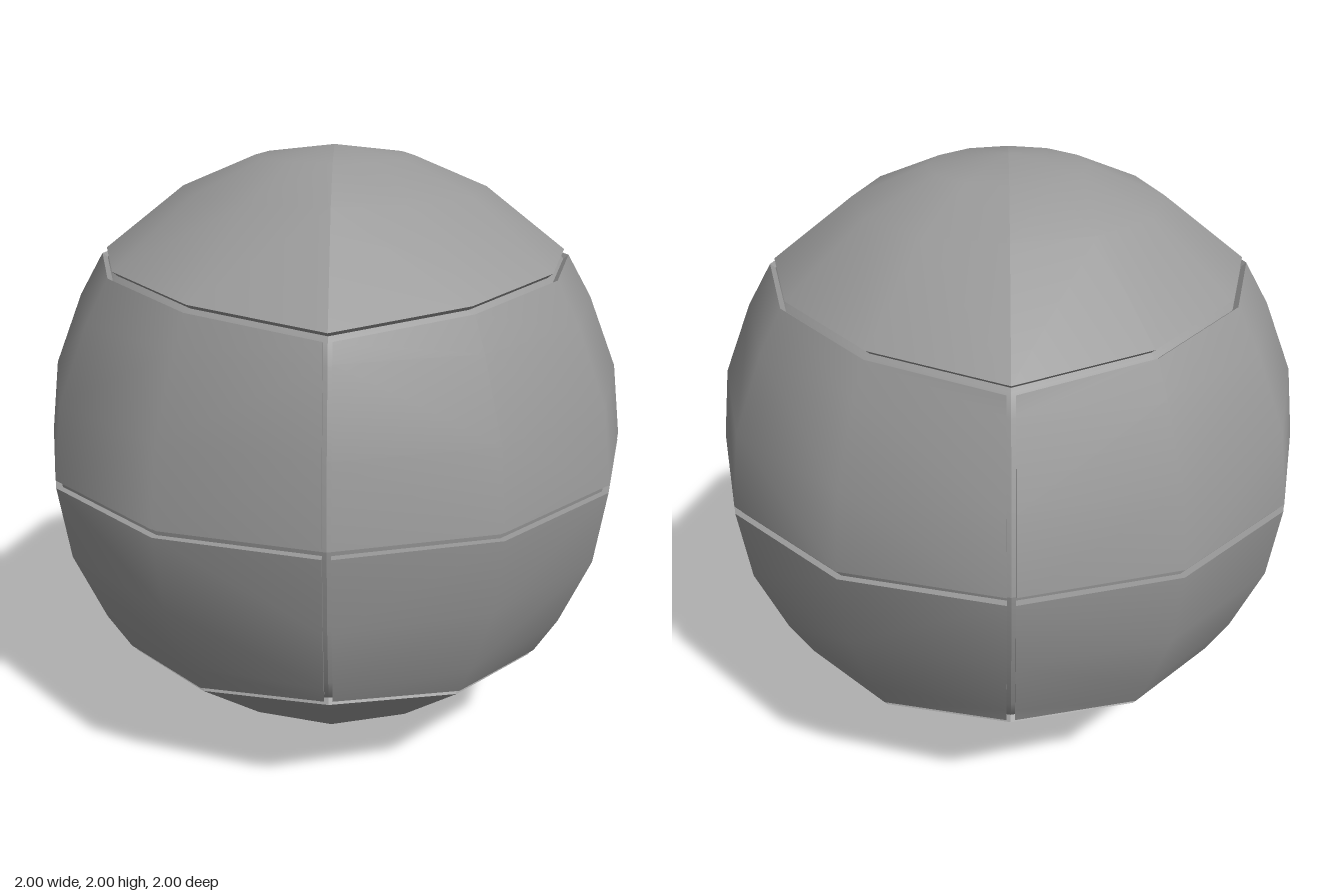
import * as THREE from 'three';
import { mergeVertices } from 'three/addons/utils/BufferGeometryUtils.js';

const RAD = Math.PI / 180;
const GAP = 0.013;                       // half width of the grooves
const FLOOR = 0.98;                      // radius of the groove floor
const SEAM = [40, 39.5, 37.2, 34.1];     // seam height in degrees, from the side round to the front
const AZ = [-90, -60, -30, 0, 30, 60, 90];

// Point on the ball; azimuth 0 is +x and 90 is +z, the ball's centre is the origin
const point = (az, el, r = 1) => new THREE.Vector3(
  r * Math.cos(el * RAD) * Math.cos(az * RAD),
  r * Math.sin(el * RAD),
  r * Math.cos(el * RAD) * Math.sin(az * RAD));

const ring = (el) => AZ.map((az) => point(az, el));
const seamRing = (offset) => AZ.map((az) => point(az, SEAM[Math.abs(az) / 30] + offset, 1.012));

// Skin a grid of points, mirrored by the signs sx and sy
function skin(rows, sx, sy, smooth) {
  const cols = rows[0].length;
  const pos = rows.flat().flatMap((p) => [p.x * sx, p.y * sy, p.z]);
  const index = [];
  for (let i = 0; i < rows.length - 1; i++) {
    for (let j = 0; j < cols - 1; j++) {
      const a = i * cols + j, b = a + 1, d = a + cols, c = d + 1;
      if (sx * sy > 0) index.push(a, d, c, a, c, b);
      else index.push(a, c, d, a, b, c);
    }
  }
  let geo = new THREE.BufferGeometry();
  geo.setAttribute('position', new THREE.Float32BufferAttribute(pos, 3));
  geo.setIndex(index);
  geo = smooth ? mergeVertices(geo) : geo.toNonIndexed();
  geo.computeVertexNormals();
  return geo;
}

export function createModel() {
  const model = new THREE.Group();
  model.name = 'ball';
  const grey = new THREE.MeshStandardMaterial({ color: 0x999999 });
  grey.name = 'grey';

  const ball = new THREE.Group();
  ball.name = 'panels';
  ball.position.y = 1;
  model.add(ball);
  const add = (name, geo) => {
    const mesh = new THREE.Mesh(geo, grey);
    mesh.name = name;
    ball.add(mesh);
  };
  const sink = (row) => row.map((p) => p.clone().multiplyScalar(FLOOR - 0.01));

  // Belt panel: equator to seam, with its sides kept clear of the grooves
  const belt = [ring(0), ring(15), ring(30), seamRing(-0.7)];
  belt.flat().forEach((p) => { p.x = Math.max(p.x, GAP); });
  belt[0].forEach((p) => { p.y = GAP; });
  const beltRim = [
    ...belt.map((row) => row[0]),
    ...belt[3].slice(1),
    ...belt.slice(0, 3).reverse().map((row) => row[6]),
    ...belt[0].slice(0, 6).reverse(),
  ];

  // Half cap: seam to pole
  const cap = [seamRing(0.7), ring(60), ring(75), ring(90)];
  const capRim = [...cap[0]].reverse();

  // Groove floor under a quarter of the ball
  const floor = [ring(0), ring(15), ring(30), seamRing(0), ring(60)]
    .map((row) => row.map((p) => p.multiplyScalar(FLOOR)));

  for (const sy of [1, -1]) {
    for (const sx of [1, -1]) {
      const side = (sy > 0 ? 'upper' : 'lower') + (sx > 0 ? 'Left' : 'Right');
      add(side + 'BeltPanel', skin(belt, sx, sy, true));
      add(side + 'BeltPanelEdge', skin([beltRim, sink(beltRim)], sx, sy, false));
      add(side + 'Cap', skin(cap, sx, sy, true));
      add(side + 'CapEdge', skin([capRim, sink(capRim)], sx, sy, false));
      add(side + 'GrooveFloor', skin(floor, sx, sy, true));
    }
  }
  return model;
}
